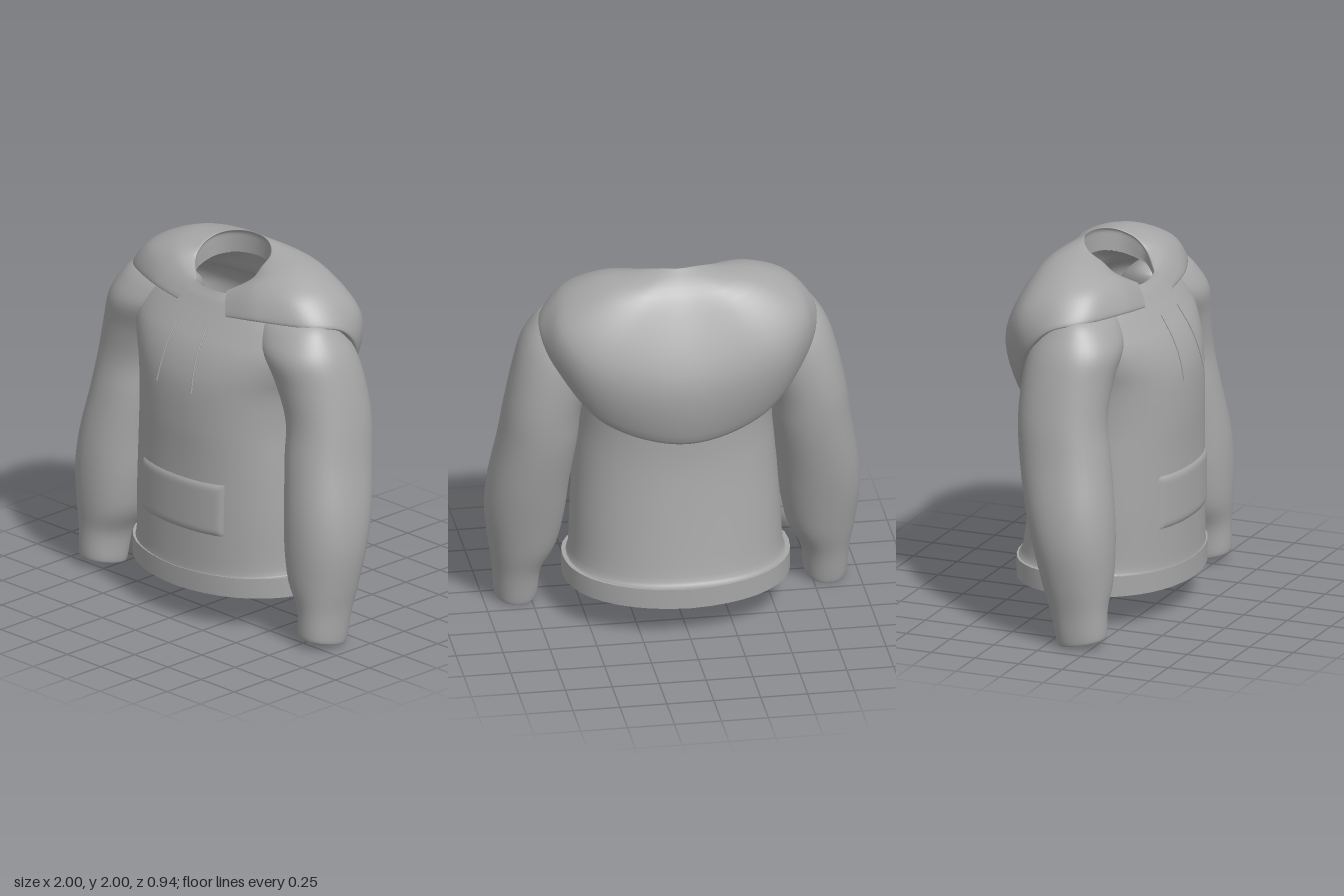
import * as THREE from 'three';

const fabric = new THREE.MeshStandardMaterial({ color: 0xa6a6a6, side: THREE.DoubleSide });
fabric.name = 'grey fabric';

// Catmull-Rom interpolation of rows of numbers, n steps between keys
function smooth(keys, n) {
  const out = [], last = keys.length - 1;
  for (let i = 0; i < last; i++) {
    const a = keys[Math.max(i - 1, 0)], b = keys[i], c = keys[i + 1], d = keys[Math.min(i + 2, last)];
    for (let k = 0; k < n; k++) {
      const t = k / n;
      out.push(b.map((v, j) => v + 0.5 * t * (c[j] - a[j] + t * (2 * a[j] - 5 * v + 4 * c[j] - d[j]
        + t * (3 * (v - c[j]) + d[j] - a[j])))));
    }
  }
  out.push(keys[last]);
  return out;
}

// Skin between rows of [x, y, z] points
function loft(rows, closed) {
  const n = rows[0].length, index = [];
  for (let i = 0; i < rows.length - 1; i++) {
    for (let j = 0; j < (closed ? n : n - 1); j++) {
      const a = i * n + j, b = i * n + (j + 1) % n;
      index.push(a, a + n, b, b, a + n, b + n);
    }
  }
  const g = new THREE.BufferGeometry();
  g.setAttribute('position', new THREE.Float32BufferAttribute(rows.flat(2), 3));
  g.setIndex(index);
  g.computeVertexNormals();
  return g;
}

// Rounded horizontal loop from [y, x0, x1, z0, z1]
function ring([y, x0, x1, z0, z1], sides, power) {
  const bend = v => Math.sign(v) * Math.abs(v) ** (2 / power);
  return Array.from({ length: sides }, (_, i) => {
    const a = i / sides * Math.PI * 2;
    return [(x0 + x1) / 2 + (x1 - x0) / 2 * bend(Math.cos(a)), y,
      (z0 + z1) / 2 + (z1 - z0) / 2 * bend(Math.sin(a))];
  });
}

export function createModel() {
  const model = new THREE.Group();
  model.name = 'hoodie';
  const add = (name, geometry) => {
    const mesh = new THREE.Mesh(geometry, fabric);
    mesh.name = name;
    model.add(mesh);
    return mesh;
  };

  // Torso: [y, half width, back z, front z], with the neckline rising to the back
  const torso = [
    [0.19, 0.594, -0.464, 0.458], [0.28, 0.592, -0.462, 0.458], [0.34, 0.566, -0.44, 0.455],
    [0.6, 0.553, -0.4, 0.455], [0.9, 0.53, -0.362, 0.455], [1.1, 0.515, -0.355, 0.46],
    [1.3, 0.53, -0.36, 0.452], [1.42, 0.58, -0.36, 0.425], [1.52, 0.63, -0.355, 0.38],
    [1.6, 0.65, -0.335, 0.325], [1.68, 0.61, -0.28, 0.267], [1.74, 0.46, -0.2, 0.225],
    [1.775, 0.225, -0.14, 0.195],
  ];
  add('torso', loft(smooth(torso, 4).map(([y, w, b, f]) => ring([y, -w, w, b, f], 64, 2.2)
    .map(([x, h, z]) => [x, h + (0.195 - z) * 0.3 * Math.max(0, (h - 1.74) / 0.035), z])), true));

  // Hem band, a thin strip lying over the bottom of the torso
  const hem = [[0.29, 0.58, -0.45, 0.45], [0.29, 0.603, -0.47, 0.463],
    [0.29, 0.603, -0.47, 0.463], [0.18, 0.603, -0.47, 0.463]];
  add('hemBand', loft(hem.map(([y, w, b, f]) => ring([y, -w, w, b, f], 40, 2.2)
    .map(([x, h, z]) => [x, h + 0.025 * Math.abs(x) - 0.025 * Math.max(0, -z), z])), true));

  // Sleeves, from the turned-in cuff up to the shoulder
  const sleeve = [
    [0.1, 0.75, 0.9, 0.085, 0.275], [0.04, 0.745, 0.905, 0.08, 0.28], [0.026, 0.722, 0.928, 0.058, 0.302],
    [0.053, 0.71, 0.94, 0.045, 0.315], [0.2, 0.692, 0.95, 0.01, 0.315], [0.35, 0.615, 0.975, -0.045, 0.33],
    [0.55, 0.575, 0.998, -0.1, 0.335], [0.75, 0.555, 0.985, -0.15, 0.322], [1.0, 0.52, 0.94, -0.2, 0.285],
    [1.2, 0.5, 0.91, -0.22, 0.255], [1.4, 0.42, 0.867, -0.22, 0.262], [1.55, 0.32, 0.822, -0.2, 0.28],
    [1.65, 0.28, 0.765, -0.14, 0.24], [1.72, 0.28, 0.7, -0.06, 0.18], [1.76, 0.35, 0.6, 0, 0.1],
  ];
  const sleeveRows = smooth(sleeve, 4).map(s => ring(s, 40, 2.15)
    .map(([x, y, z]) => [x, y + (z - 0.18) * 0.2 * Math.max(0, 1 - y / 0.4), z]));
  for (const [name, side] of [['leftSleeve', 1], ['rightSleeve', -1]]) {
    add(name, loft(sleeveRows.map(r => r.map(([x, y, z]) => [x * side, y, z])), true));
  }

  // Lowered hood: stations from the front corner round to the back,
  // each with neck rim, upper, middle and outer edge points
  const half = [
    [0.115, 1.8, 0.19, 0.13, 1.78, 0.213, 0.15, 1.74, 0.24, 0.18, 1.69, 0.262],
    [0.215, 1.87, 0.11, 0.29, 1.87, 0.16, 0.36, 1.805, 0.215, 0.4, 1.72, 0.245],
    [0.236, 1.93, 0.04, 0.39, 1.925, 0.06, 0.56, 1.85, 0.11, 0.655, 1.725, 0.13],
    [0.225, 1.965, -0.04, 0.43, 1.945, -0.07, 0.63, 1.84, -0.08, 0.738, 1.68, -0.06],
    [0.175, 1.985, -0.1, 0.4, 1.92, -0.215, 0.64, 1.72, -0.27, 0.67, 1.5, -0.225],
    [0.095, 1.995, -0.14, 0.26, 1.88, -0.3, 0.45, 1.55, -0.415, 0.425, 1.225, -0.345],
    [0, 1.995, -0.155, 0, 1.86, -0.295, 0, 1.45, -0.462, 0, 1.115, -0.415],
  ];
  const mirrored = half.slice(0, -1).reverse().map(s => s.map((v, i) => (i % 3 ? v : -v)));
  const hoodRows = smooth([...half, ...mirrored], 8).map(s => {
    const p = [0, 3, 6, 9].map(i => s.slice(i, i + 3));
    const [rx, ry, rz] = p[0], [ex, ey, ez] = p[3];
    const seam = [rx * 0.97, 1.77 + (0.19 - rz) * 0.3, rz * 0.97];
    const collar = [rx * 0.97, ry - 0.025, rz * 0.97];
    const tuck = [ex * 0.9, ey + 0.005, ez * 0.8];
    return smooth([seam, collar, ...p, tuck], 6);
  });
  add('hood', loft(hoodRows, false));

  // Front pocket: padded panel following the curve of the belly
  const pocket = new THREE.PlaneGeometry(0.614, 0.294, 40, 24);
  const pos = pocket.attributes.position;
  for (let i = 0; i < pos.count; i++) {
    const x = pos.getX(i), y = pos.getY(i);
    const edge = Math.min(0.307 - Math.abs(x), 0.147 - Math.abs(y));
    const belly = 0.0275 + 0.4275 * (1 - (Math.abs(x) / 0.553) ** 2.2) ** (1 / 2.2);
    pos.setZ(i, belly - 0.003 + 0.014 * Math.sqrt(Math.min(1, Math.max(0, edge) / 0.03)));
  }
  pocket.computeVertexNormals();
  add('frontPocket', pocket).position.y = 0.66;

  // Drawstrings
  for (const [name, side] of [['leftDrawstring', 1], ['rightDrawstring', -1]]) {
    const path = new THREE.CatmullRomCurve3([[0.105, 1.635, 0.325], [0.112, 1.53, 0.39],
      [0.12, 1.42, 0.437], [0.13, 1.3, 0.467]].map(([x, y, z]) => new THREE.Vector3(x * side, y, z)));
    add(name, new THREE.TubeGeometry(path, 20, 0.005, 6));
  }
  return model;
}
